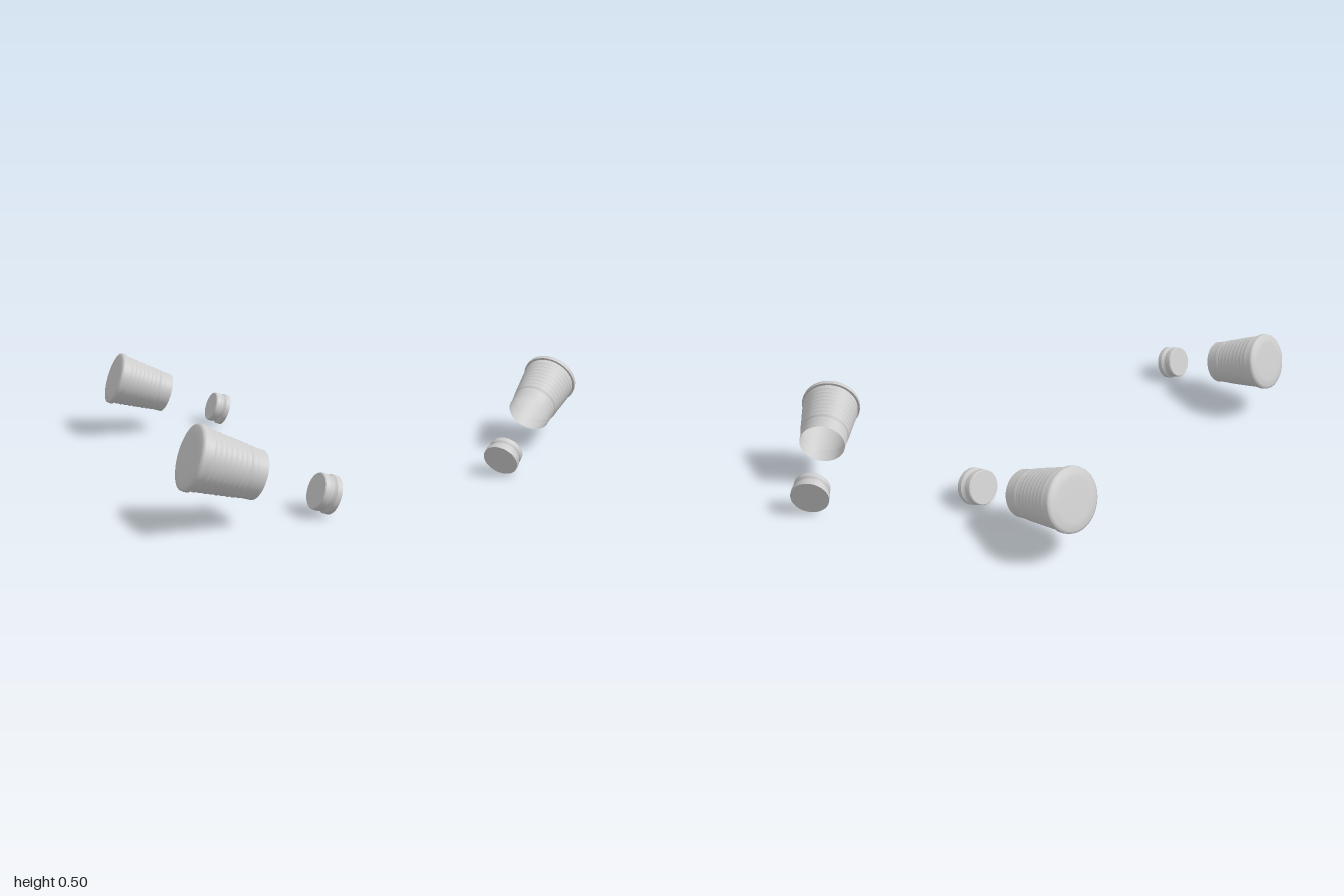
import * as THREE from 'three';

const TILT = THREE.MathUtils.degToRad(70);

export function createModel() {
  const grey = new THREE.MeshStandardMaterial({ color: 0xcccccc, side: THREE.DoubleSide });
  grey.name = 'light grey';

  // One lathe per smooth section, so that edges between sections stay sharp
  const turned = (name, parent, points) => {
    const profile = points.map(([r, s]) => new THREE.Vector2(r, s));
    const mesh = new THREE.Mesh(new THREE.LatheGeometry(profile, 48), grey);
    mesh.name = name;
    parent.add(mesh);
  };

  // Tapered ribbed wall: rib tips lean towards the small end
  const ribs = [[0.122, 0.08]];
  for (let i = 0; i < 8; i++) {
    const s = 0.0935 + i * 0.0278;
    const r = 0.13 + i * 0.003;
    ribs.push([r - 0.001, s - 0.002], [r, s + 0.001], [r - 0.003, s + 0.0155]);
  }
  ribs.push([0.1485, 0.312], [0.147, 0.32]);

  const makeCup = () => {
    const cup = new THREE.Group();
    cup.name = 'cup';
    turned('collar', cup, [[0.12, 0], [0.122, 0.05]]);
    turned('neck', cup, [[0.122, 0.05], [0.1255, 0.066], [0.122, 0.08]]);
    turned('ribbedWall', cup, ribs);
    turned('rimLedge', cup, [[0.147, 0.32], [0.159, 0.32]]);
    turned('rim', cup, [
      [0.159, 0.32], [0.1592, 0.335], [0.157, 0.346], [0.145, 0.351],
      [0.125, 0.356], [0.107, 0.359], [0.05, 0.3592], [0, 0.3592],
    ]);
    cup.position.set(-0.021, 0.2325, 0);
    cup.rotation.z = TILT;
    return cup;
  };

  // Short solid plug with a groove and a stepped inner end
  const makePlug = () => {
    const plug = new THREE.Group();
    plug.name = 'plug';
    turned('outerFace', plug, [[0, 0], [0.0968, 0]]);
    turned('outerBand', plug, [[0.0968, 0], [0.0968, 0.027]]);
    turned('groove', plug, [[0.0968, 0.027], [0.0875, 0.039], [0.085, 0.049], [0.087, 0.053]]);
    turned('grooveStep', plug, [[0.087, 0.053], [0.0925, 0.062]]);
    turned('innerBand', plug, [[0.0925, 0.062], [0.0915, 0.087]]);
    turned('innerBevel', plug, [[0.0915, 0.087], [0.087, 0.0925]]);
    turned('innerFace', plug, [[0.087, 0.0925], [0, 0.0925]]);
    plug.position.set(0.3665, 0.092, 0);
    plug.rotation.z = TILT;
    return plug;
  };

  // The same pair on both sides
  const model = new THREE.Group();
  model.name = 'cupsAndPlugs';
  for (const [name, z] of [['frontPair', 0.841], ['backPair', -0.841]]) {
    const pair = new THREE.Group();
    pair.name = name;
    pair.add(makeCup(), makePlug());
    pair.position.z = z;
    model.add(pair);
  }
  return model;
}
